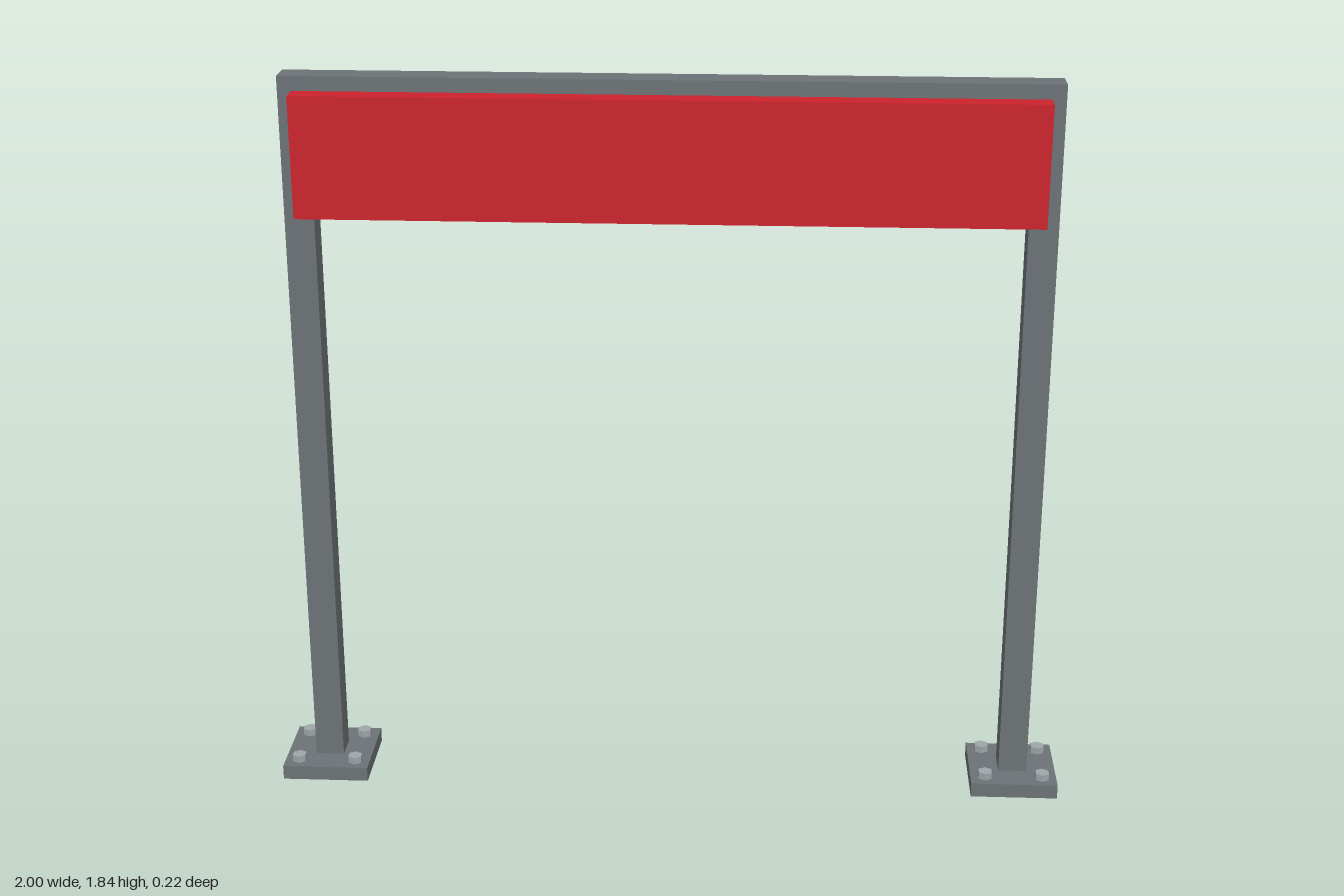
import * as THREE from 'three';

export function createModel() {
  const model = new THREE.Group();
  model.name = 'signGantry';

  const material = (name, color) => {
    const m = new THREE.MeshStandardMaterial({ color });
    m.name = name;
    return m;
  };
  const steel = material('grey steel', 0x6c7276);
  const red = material('red panel', 0xcc222c);
  const zinc = material('light zinc', 0xa0a6aa);

  const add = (parent, name, geometry, mat, x, y, z) => {
    const mesh = new THREE.Mesh(geometry, mat);
    mesh.name = name;
    mesh.position.set(x, y, z);
    parent.add(mesh);
  };

  const tube = 0.072, top = 1.835, plateH = 0.037, postX = 0.89;
  const boltGeometry = new THREE.CylinderGeometry(0.019, 0.019, 0.018, 6).toNonIndexed();
  boltGeometry.computeVertexNormals();

  // Mirrored posts on bolted base plates
  for (const side of [-1, 1]) {
    const leg = new THREE.Group();
    leg.name = side > 0 ? 'leftLeg' : 'rightLeg';
    leg.position.x = side * postX;
    model.add(leg);
    add(leg, 'basePlate', new THREE.BoxGeometry(0.22, plateH, 0.22), steel, 0, plateH / 2, 0);
    add(leg, 'post', new THREE.BoxGeometry(tube, top - plateH, tube), steel, 0, (top + plateH) / 2, 0);
    for (const x of [-0.073, 0.073])
      for (const z of [-0.073, 0.073])
        add(leg, 'bolt', boltGeometry, zinc, x, plateH + 0.009, z);
  }

  // Crossbeam between the posts
  add(model, 'crossbeam', new THREE.BoxGeometry(2 * postX - tube, tube, tube), steel, 0, top - tube / 2, 0);

  // Sign box wrapped around the beam, standing proud front and back
  add(model, 'signPanel', new THREE.BoxGeometry(1.784, 0.297, 0.184), red, 0, 1.651, 0);

  return model;
}
